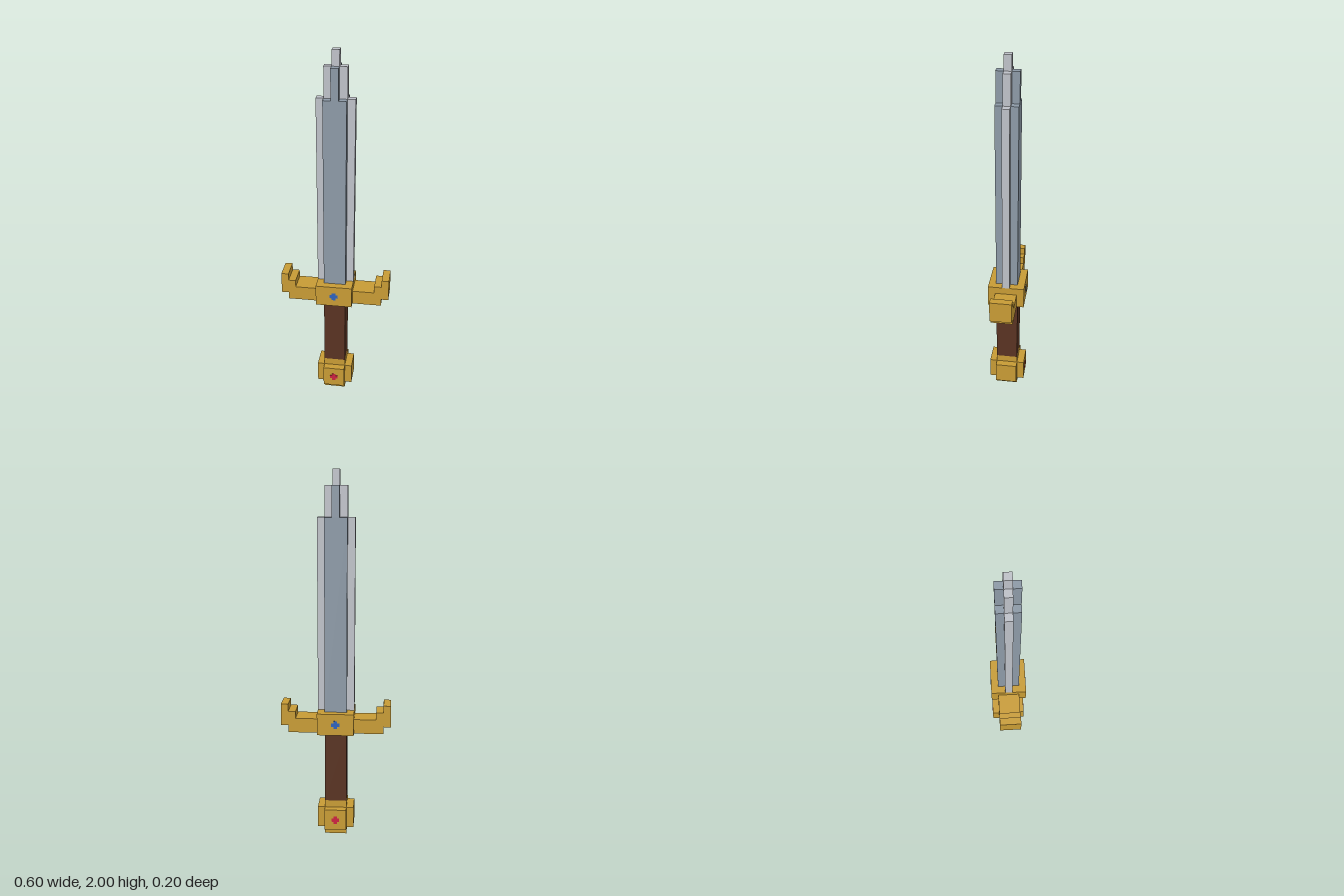
import * as THREE from 'three';

const mat = (name, color) => {
  const m = new THREE.MeshStandardMaterial({ color });
  m.name = name;
  return m;
};

export function createModel() {
  const steel = mat('steel', 0x8d9aa7);
  const silver = mat('silver', 0xbfc2c9);
  const gold = mat('gold', 0xc89c35);
  const leather = mat('leather', 0x593322);
  const blue = mat('blue gem', 0x2d62bd);
  const red = mat('red gem', 0xcb2240);

  const model = new THREE.Group();
  model.name = 'sword';

  // Box given by its lower and upper corners
  const box = (name, material, [x0, y0, z0], [x1, y1, z1]) => {
    const mesh = new THREE.Mesh(new THREE.BoxGeometry(x1 - x0, y1 - y0, z1 - z0), material);
    mesh.position.set((x0 + x1) / 2, (y0 + y1) / 2, (z0 + z1) / 2);
    mesh.name = name;
    model.add(mesh);
  };
  // Box centred on the sword's axis
  const post = (name, material, hx, hz, y0, y1) => box(name, material, [-hx, y0, -hz], [hx, y1, hz]);
  // The same box on the left (+x) and right (-x)
  const pair = (name, material, x0, x1, y0, y1, hz) => {
    box(name + 'Left', material, [x0, y0, -hz], [x1, y1, hz]);
    box(name + 'Right', material, [-x1, y0, -hz], [-x0, y1, hz]);
  };

  // Blade: steel core with silver cutting edges, stepping in to the tip
  post('bladeCore', steel, 0.06, 0.06, 0.72, 1.76);
  pair('bladeEdge', silver, 0.06, 0.1, 0.72, 1.76, 0.02);
  post('upperBladeCore', steel, 0.02, 0.06, 1.76, 1.92);
  pair('upperBladeEdge', silver, 0.02, 0.06, 1.76, 1.92, 0.02);
  post('bladeTip', silver, 0.02, 0.02, 1.92, 2.0);

  // Crossguard with stepped, upturned ends
  post('guardBlock', gold, 0.1, 0.1, 0.6, 0.72);
  pair('guardArm', gold, 0.1, 0.22, 0.6, 0.68, 0.06);
  pair('guardStep', gold, 0.22, 0.26, 0.6, 0.72, 0.06);
  pair('guardEnd', gold, 0.26, 0.3, 0.64, 0.76, 0.06);

  // Grip
  post('grip', leather, 0.06, 0.06, 0.2, 0.6);

  // Pommel: core with a raised plate on each side
  post('pommelCore', gold, 0.06, 0.06, 0, 0.2);
  pair('pommelSide', gold, 0.06, 0.1, 0.04, 0.16, 0.06);
  box('pommelFront', gold, [-0.06, 0.04, 0.06], [0.06, 0.16, 0.1]);
  box('pommelBack', gold, [-0.06, 0.04, -0.1], [0.06, 0.16, -0.06]);

  // Cross-shaped gems as thin plates on front and back
  const a = 0.022, b = 0.01;
  const cross = new THREE.Shape([
    [-b, -a], [b, -a], [b, -b], [a, -b], [a, b], [b, b],
    [b, a], [-b, a], [-b, b], [-a, b], [-a, -b], [-b, -b],
  ].map(([x, y]) => new THREE.Vector2(x, y)));
  const gemGeometry = new THREE.ExtrudeGeometry(cross, { depth: 0.002, bevelEnabled: false });
  for (const [name, material, y] of [['guardGem', blue, 0.66], ['pommelGem', red, 0.1]]) {
    for (const side of [1, -1]) {
      const gem = new THREE.Mesh(gemGeometry, material);
      gem.name = name + (side > 0 ? 'Front' : 'Back');
      gem.position.set(0, y, side * 0.1);
      gem.rotation.y = side > 0 ? 0 : Math.PI;
      model.add(gem);
    }
  }
  return model;
}
